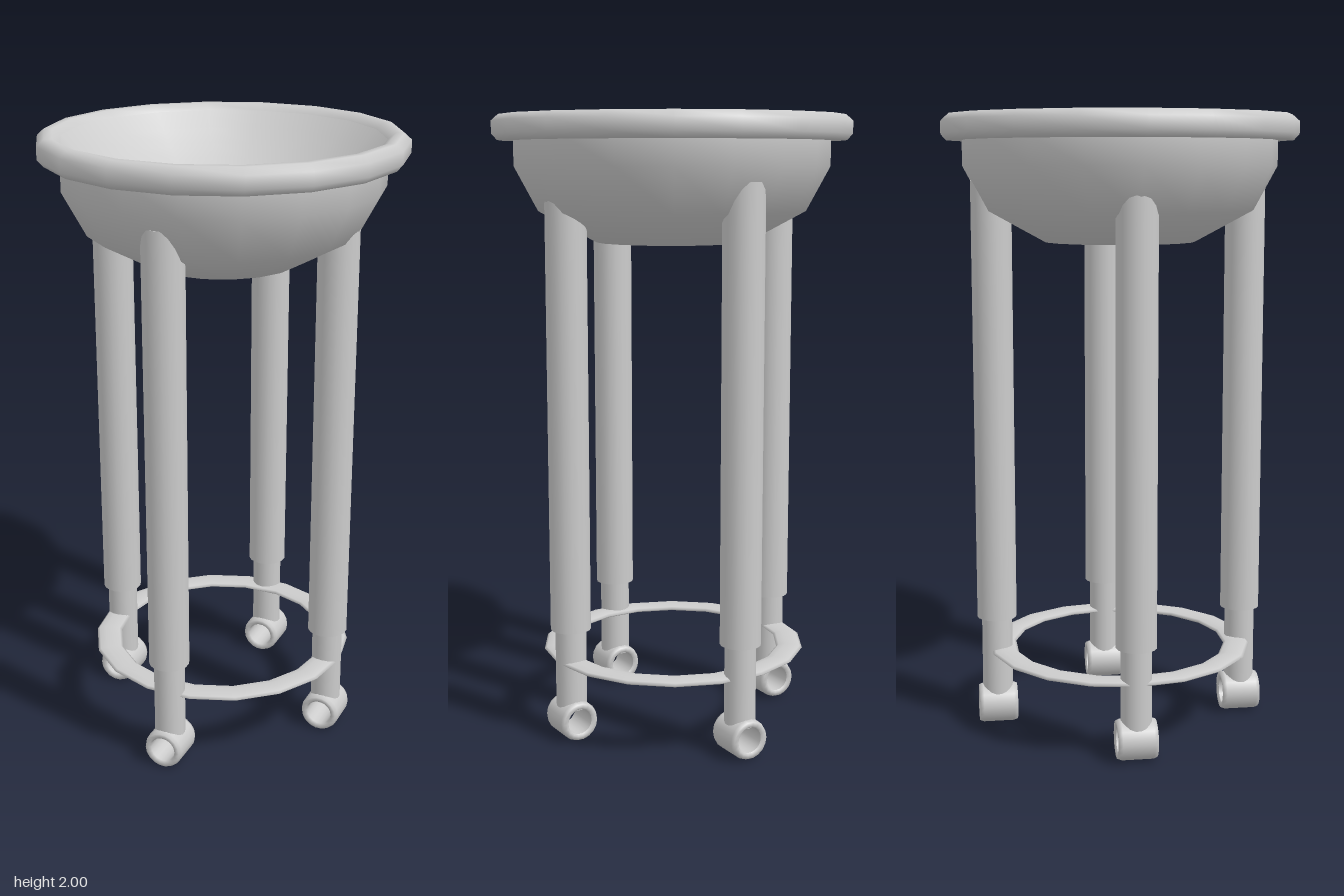
import * as THREE from 'three';

const material = new THREE.MeshStandardMaterial({ color: 0xcccccc });

// Smooth solid of revolution from [radius, height] pairs, with a corner on the x axis
function turned(name, profile, sides = 18) {
  const points = profile.map(([r, y]) => new THREE.Vector2(r, y));
  const mesh = new THREE.Mesh(new THREE.LatheGeometry(points, sides, Math.PI / 2), material);
  mesh.name = name;
  return mesh;
}

function createLeg(x, z) {
  const leg = new THREE.Group();
  leg.name = 'leg';

  // thick upper post, its top buried in the bowl
  const post = new THREE.Mesh(new THREE.CylinderGeometry(0.065, 0.065, 1.43, 18), material);
  post.name = 'upperPost';
  post.position.y = 1.08;

  // slimmer extension running down to the caster
  const extension = new THREE.Mesh(new THREE.CylinderGeometry(0.05, 0.05, 0.29, 18), material);
  extension.name = 'lowerPost';
  extension.position.y = 0.245;

  // hollow caster, axis front to back
  const caster = turned('caster', [
    [0.042, -0.058], [0.048, -0.063], [0.06, -0.063], [0.065, -0.05], [0.065, 0.05],
    [0.06, 0.063], [0.048, 0.063], [0.042, 0.058], [0.042, -0.058],
  ]);
  caster.rotation.x = Math.PI / 2;
  caster.position.y = 0.065;

  leg.add(post, extension, caster);
  leg.position.set(x, 0, z);
  return leg;
}

export function createModel() {
  const model = new THREE.Group();
  model.name = 'bowlStand';

  // outer bowl
  model.add(turned('bowl', [
    [0, 1.6], [0.245, 1.6], [0.43, 1.7], [0.505, 1.84], [0.505, 1.93],
  ]));

  // rolled rim
  model.add(turned('rim', [
    [0.49, 1.92], [0.555, 1.92], [0.573, 1.94], [0.573, 1.98],
    [0.55, 2], [0.525, 2], [0.5, 1.98], [0.49, 1.96],
  ]));

  // curved inner dish
  const dish = [];
  for (let i = 0; i <= 10; i++) {
    const r = 0.5 * (1 - i / 10);
    dish.push([r, 1.72 + 0.26 * (r / 0.5) ** 2]);
  }
  model.add(turned('dish', dish));

  // four legs, one on each side
  for (const side of [-1, 1]) {
    model.add(createLeg(side * 0.388 - 0.005, -0.003));
    model.add(createLeg(-0.005, side * 0.412));
  }

  // flattened ring tying the legs together
  const ring = new THREE.Mesh(new THREE.TorusGeometry(0.393, 0.043, 10, 18), material);
  ring.name = 'footRing';
  ring.rotation.x = Math.PI / 2;
  ring.scale.z = 0.25;
  ring.position.set(-0.005, 0.255, 0);
  model.add(ring);

  return model;
}
